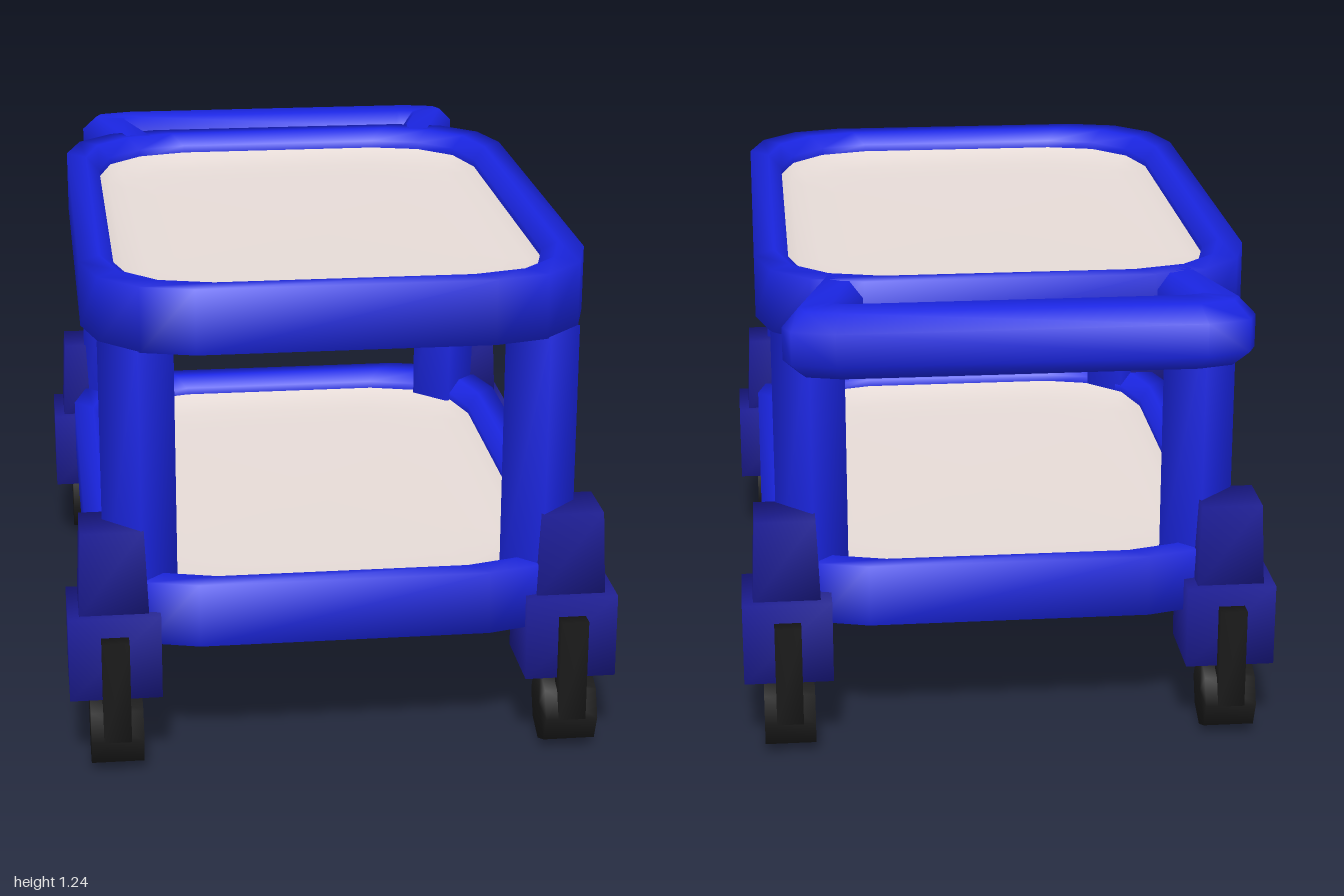
import * as THREE from 'three';
import { mergeVertices } from 'three/addons/utils/BufferGeometryUtils.js';

const mat = (name, color) => Object.assign(new THREE.MeshStandardMaterial({ color }), { name });

// Half outlines of a shelf as [x, z], running from the front round the +x side to the back
const OUTER = [[0.36, 0.96], [0.49, 0.925], [0.585, 0.83], [0.625, 0.69],
  [0.625, -0.44], [0.585, -0.58], [0.49, -0.67], [0.36, -0.705]];
const INNER = [[0.28, 0.867], [0.41, 0.832], [0.5, 0.737], [0.537, 0.6],
  [0.537, -0.355], [0.5, -0.5], [0.41, -0.587], [0.28, -0.622]];
const mirrorLoop = (half) => [...half, ...half.map(([x, z]) => [-x, z]).reverse()];
const outer = mirrorLoop(OUTER);
const inner = mirrorLoop(INNER);
const MID_Z = 0.123;
const HALF = 0.081; // half height of rims and handle

// Skin a list of closed rings of [x, y, z] points
function loft(rings) {
  const n = rings[0].length;
  const index = [];
  for (let i = 0; i < rings.length - 1; i++) {
    for (let j = 0; j < n; j++) {
      const k = (j + 1) % n;
      const a = i * n + j, b = i * n + k, c = b + n, d = a + n;
      index.push(a, b, c, a, c, d);
    }
  }
  const geo = new THREE.BufferGeometry();
  geo.setAttribute('position', new THREE.Float32BufferAttribute(rings.flat(2), 3));
  geo.setIndex(index);
  geo.computeVertexNormals();
  return geo;
}

// Share corner vertices so the shading runs smoothly over the edges
function smooth(geo) {
  geo.deleteAttribute('normal');
  geo.deleteAttribute('uv');
  const merged = mergeVertices(geo, 1e-4);
  merged.computeVertexNormals();
  return merged;
}

// Shelf rings: between the two outlines, or the inner one shrunk towards the centre
const between = (w, y) => inner.map(([x, z], j) =>
  [x + (outer[j][0] - x) * w, y, z + (outer[j][1] - z) * w]);
const shrunk = (s, y) => inner.map(([x, z]) => [x * s, y, MID_Z + (z - MID_Z) * s]);

export function createModel() {
  const model = new THREE.Group();
  const blue = mat('frame blue', 0x1a25e2);
  const navy = mat('bracket navy', 0x1d1d96);
  const black = mat('wheel black', 0x1b1b1b);
  const beige = mat('tray beige', 0xe6dbd7);

  const add = (parent, name, geo, material, x = 0, y = 0, z = 0) => {
    const mesh = new THREE.Mesh(geo, material);
    mesh.name = name;
    mesh.position.set(x, y, z);
    parent.add(mesh);
  };

  // Shelves: upright rim with a soft inner lip, shallow tray and flat underside
  for (const [name, y] of [['lowerShelf', 0.407], ['upperShelf', 1.159]]) {
    const shelf = new THREE.Group();
    shelf.name = name;
    shelf.position.y = y;
    model.add(shelf);
    const section = [[0, -HALF], [1, -HALF], [1, HALF], [0.4, HALF], [0, HALF - 0.03], [0, HALF - 0.055]];
    add(shelf, 'rim', loft(section.map(([w, h]) => between(w, h))), blue);
    const bowl = [[1, 0], [0.95, 0.014], [0.85, 0.022], [0.7, 0.025], [0, 0.025]];
    add(shelf, 'tray', loft(bowl.map(([s, drop]) => shrunk(s, HALF - 0.05 - drop))), beige);
    add(shelf, 'underside', loft([shrunk(0, -HALF), shrunk(1, -HALF)]), blue);
  }

  // Push handle: a chamfered section swept from one arm across to the other,
  // each station given as [outer x, outer z, inner x, inner z]
  const arm = [[0.48, -0.64, 0.345, -0.64], [0.565, -0.925, 0.405, -0.85],
    [0.545, -0.97, 0.405, -0.85], [0.44, -1, 0.38, -0.85]];
  const stations = [...arm, ...arm.map(([a, b, c, d]) => [-a, b, -c, d]).reverse()];
  const handleSection = [[0.25, 1], [0.75, 1], [1, 0.5], [1, -0.5], [0.75, -1], [0.25, -1], [0, -0.5], [0, 0.5]];
  add(model, 'handle', loft(stations.map(([ox, oz, ix, iz]) => handleSection.map(([w, h]) =>
    [ix + (ox - ix) * w, h * HALF, iz + (oz - iz) * w]))), blue, 0, 1.159, 0);

  // Tapered cap on top of each bracket
  const cap = new THREE.BoxGeometry(0.172, 0.215, 0.166);
  const p = cap.attributes.position;
  for (let i = 0; i < p.count; i++) {
    if (p.getY(i) > 0) p.setXYZ(i, p.getX(i) * 0.9, p.getY(i), p.getZ(i) * 0.88);
  }
  const capGeo = smooth(cap);
  const bracketGeo = smooth(new THREE.BoxGeometry(0.228, 0.216, 0.212));
  const forkGeo = smooth(new THREE.BoxGeometry(0.068, 0.265, 0.06));
  const wheelGeo = smooth(new THREE.CylinderGeometry(0.096, 0.096, 0.13, 8).rotateZ(Math.PI / 2));
  const postGeo = smooth(new THREE.CylinderGeometry(0.092, 0.092, 0.68, 4));

  for (const side of [1, -1]) {
    for (const end of [1, -1]) {
      const front = end > 0;

      // Four-sided corner post set on edge
      add(model, 'post', postGeo, blue, 0.498 * side, 0.74, front ? 0.832 : -0.575);

      // Caster: bracket block, tapered cap, fork and wheel
      const caster = new THREE.Group();
      caster.name = front ? 'frontCaster' : 'rearCaster';
      caster.position.set(0.569 * side, 0, front ? 0.855 : -0.643);
      model.add(caster);
      add(caster, 'bracket', bracketGeo, navy, 0, 0.303, 0);
      add(caster, 'cap', capGeo, navy, 0, 0.515, 0);
      add(caster, 'fork', forkGeo, black, 0, 0.228, 0.115 * end);
      add(caster, 'wheel', wheelGeo, black, 0, 0.096, 0.046 * end);
    }
  }
  return model;
}
